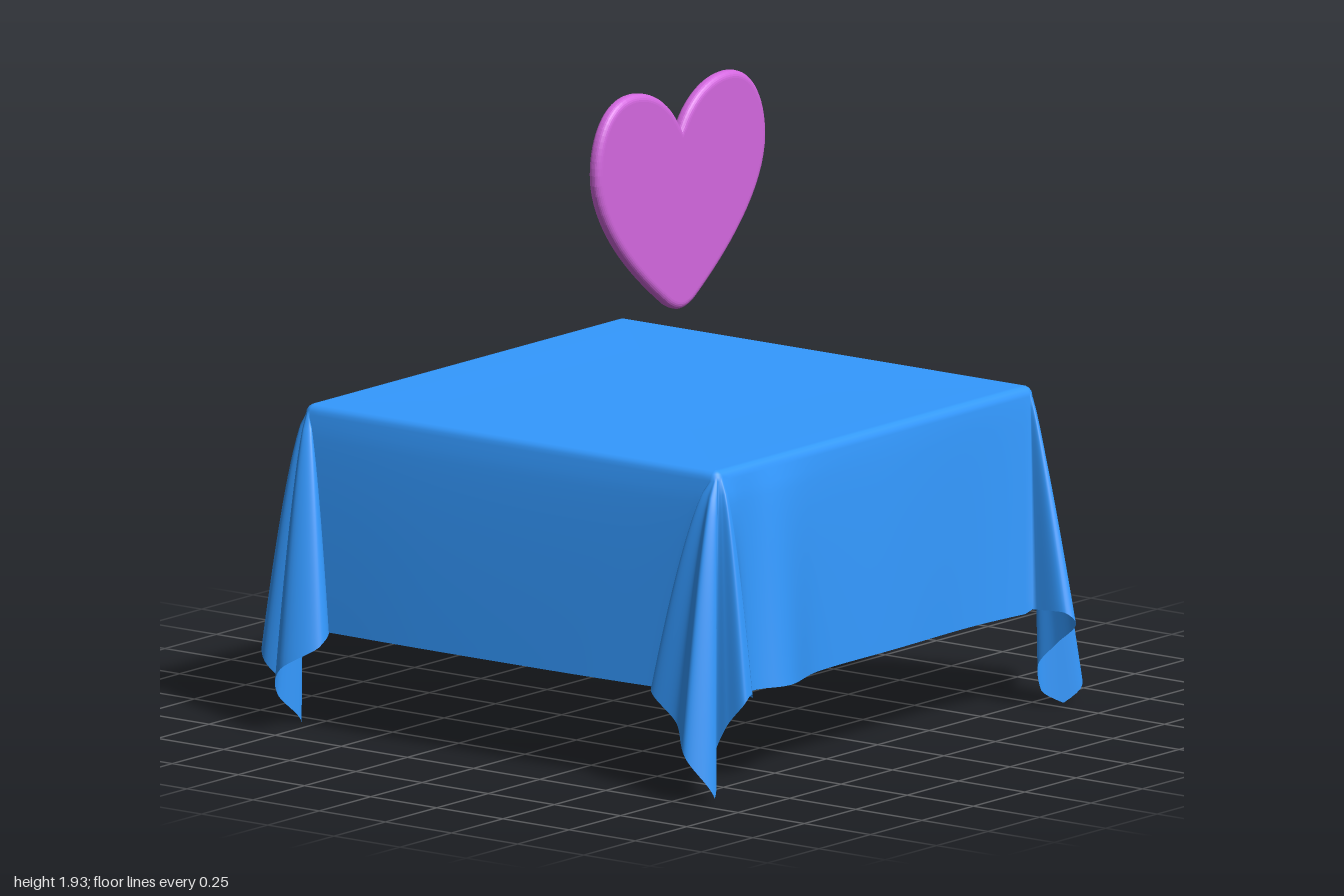
import * as THREE from 'three';

const TOP = 0.99, DROP = 0.67, ROUND = 0.03;

// Corners in ring order: table corner (p), how strongly the folds bow out (bow, lower is rounder),
// hem folds around it (fold), and the hem of the side that follows (side). Points are [x, z].
const CORNERS = [
  { p: [0.745, 0.77], bow: 0.85,
    fold: [[0.65, 0.83], [0.65, 0.95], [0.68, 0.97], [0.70, 0.88], [0.70, 0.81], [0.73, 0.80], [0.84, 0.87], [0.85, 0.83], [0.81, 0.77], [0.98, 0.70], [0.995, 0.67], [0.81, 0.70]],
    side: [[0.78, 0.4], [0.79, 0], [0.80, -0.3], [0.84, -0.56]] },
  { p: [0.745, -0.80], bow: 0.85,
    fold: [[0.80, -0.66], [0.89, -0.69], [0.89, -0.73], [0.78, -0.78], [0.88, -0.82], [0.88, -0.88], [0.77, -0.83], [0.75, -0.97], [0.71, -0.97], [0.69, -0.84]],
    side: [[0.4, -0.83], [0, -0.85], [-0.4, -0.83]] },
  { p: [-0.805, -0.80], bow: 0.68,
    fold: [[-0.64, -0.84], [-0.66, -0.93], [-0.74, -0.97], [-0.84, -0.92], [-0.82, -0.83], [-0.82, -0.79], [-0.91, -0.81], [-0.99, -0.74], [-0.94, -0.63], [-0.88, -0.64], [-0.86, -0.70]],
    side: [[-0.87, -0.3], [-0.87, 0.3]] },
  { p: [-0.805, 0.77], bow: 0.68,
    fold: [[-0.86, 0.60], [-0.91, 0.60], [-0.94, 0.72], [-1.0, 0.80], [-0.94, 0.865], [-0.86, 0.80], [-0.85, 0.84], [-0.84, 0.90], [-0.80, 0.90]],
    side: [[-0.77, 0.85], [-0.70, 0.84], [-0.60, 0.88], [-0.4, 0.83], [0, 0.82], [0.4, 0.81]] },
];

const hemCurve = (pts) => new THREE.CatmullRomCurve3(pts.map(([x, z]) => new THREE.Vector3(x, 0, z)));

// Pairs each point on the table edge with the hem point hanging below it
function clothRing() {
  const ring = [];
  CORNERS.forEach((c, k) => {
    const next = CORNERS[(k + 1) % 4];
    const a0 = Math.PI / 2 - k * Math.PI / 2; // direction of the side before this corner
    const [px, pz] = c.p;
    const cx = px - ROUND * Math.sign(px), cz = pz - ROUND * Math.sign(pz);

    // Corner flap: a fan of cloth that is longest along its diagonal
    const fold = hemCurve(c.fold), nFold = 84;
    for (let i = 0; i < nFold; i++) {
      const u = i / nFold, m = 1 - Math.abs(2 * u - 1), a = a0 - u * Math.PI / 2;
      const h = fold.getPoint(u);
      const reach = DROP * Math.hypot(1, m) + 0.025 * m;
      const out = Math.hypot(h.x - px, h.z - pz);
      h.y = TOP - Math.sqrt(reach * reach - out * out);
      ring.push({ cx, cz, nx: Math.cos(a), nz: Math.sin(a), hem: h, bow: c.bow });
    }

    // Straight side up to the next corner
    const side = hemCurve([c.fold.at(-1), ...c.side, next.fold[0]]), nSide = 48;
    const a1 = a0 - Math.PI / 2;
    const ex = next.p[0] - ROUND * Math.sign(next.p[0]), ez = next.p[1] - ROUND * Math.sign(next.p[1]);
    for (let i = 0; i < nSide; i++) {
      const u = i / nSide, h = side.getPointAt(u);
      h.y = TOP - DROP;
      ring.push({
        cx: THREE.MathUtils.lerp(cx, ex, u), cz: THREE.MathUtils.lerp(cz, ez, u),
        nx: Math.cos(a1), nz: Math.sin(a1), hem: h, bow: THREE.MathUtils.lerp(c.bow, next.bow, u),
      });
    }
  });
  return ring;
}

function clothGeometry() {
  const ring = clothRing(), n = ring.length, pos = [], index = [];
  const mx = -0.03, mz = -0.015;
  let rows = 0;
  const addRow = (f) => { ring.forEach((r) => pos.push(...f(r))); rows++; };

  // Top, with a very shallow sag in the middle
  for (const s of [0, 0.3, 0.6, 0.85, 1]) {
    addRow((r) => [mx + (r.cx - mx) * s, TOP - 0.006 * (1 - s * s), mz + (r.cz - mz) * s]);
  }
  // Rounded edge
  for (let i = 1; i <= 4; i++) {
    const a = i / 4 * Math.PI / 2, o = ROUND * Math.sin(a), y = TOP - ROUND * (1 - Math.cos(a));
    addRow((r) => [r.cx + r.nx * o, y, r.cz + r.nz * o]);
  }
  // Hanging cloth
  for (let i = 1; i <= 18; i++) {
    const t = i / 18;
    addRow((r) => {
      const x = r.cx + r.nx * ROUND, z = r.cz + r.nz * ROUND, y = TOP - ROUND, w = Math.pow(t, r.bow);
      return [x + (r.hem.x - x) * w, y + (r.hem.y - y) * t, z + (r.hem.z - z) * w];
    });
  }
  for (let j = 0; j < rows - 1; j++) {
    for (let i = 0; i < n; i++) {
      const a = j * n + i, b = j * n + (i + 1) % n;
      if (j > 0) index.push(a, b + n, b);
      index.push(a, a + n, b + n);
    }
  }
  const g = new THREE.BufferGeometry();
  g.setAttribute('position', new THREE.Float32BufferAttribute(pos, 3));
  g.setIndex(index);
  g.computeVertexNormals();
  return g;
}

function heartGeometry() {
  const s = new THREE.Shape();
  s.moveTo(0, 0.555);
  s.bezierCurveTo(0.04, 0.63, 0.12, 0.69, 0.22, 0.69);
  s.bezierCurveTo(0.33, 0.69, 0.395, 0.59, 0.395, 0.47);
  s.bezierCurveTo(0.395, 0.30, 0.21, 0.13, 0.06, 0.02);
  s.quadraticCurveTo(0.025, 0, 0, 0);
  s.quadraticCurveTo(-0.025, 0, -0.06, 0.02);
  s.bezierCurveTo(-0.21, 0.13, -0.395, 0.30, -0.395, 0.47);
  s.bezierCurveTo(-0.395, 0.59, -0.33, 0.69, -0.22, 0.69);
  s.bezierCurveTo(-0.12, 0.69, -0.04, 0.63, 0, 0.555);
  const g = new THREE.ExtrudeGeometry(s, {
    depth: 0.006, curveSegments: 16,
    bevelThickness: 0.019, bevelSize: 0.022, bevelOffset: -0.022, bevelSegments: 6,
  });
  return g.translate(0, 0, -0.003);
}

export function createModel() {
  const group = new THREE.Group();

  const cloth = new THREE.Mesh(clothGeometry(),
    new THREE.MeshStandardMaterial({ color: 0x3399ff, side: THREE.DoubleSide }));
  cloth.name = 'tablecloth';
  group.add(cloth);

  const heart = new THREE.Mesh(heartGeometry(), new THREE.MeshStandardMaterial({ color: 0xd468e0 }));
  heart.name = 'heart';
  heart.position.set(-0.035, 1.258, 0.02);
  heart.rotation.y = -0.035;
  group.add(heart);

  return group;
}
